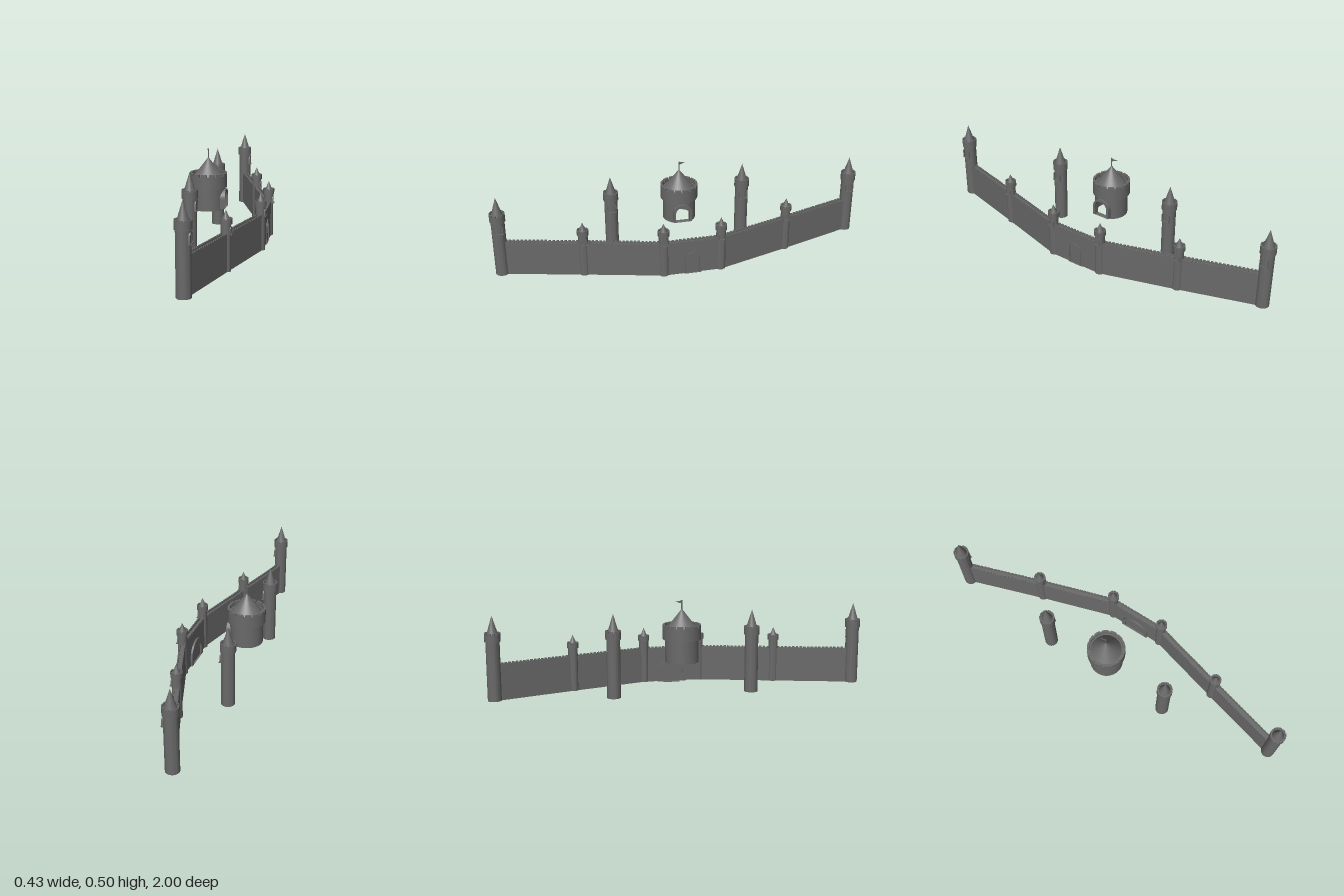
import * as THREE from 'three';
import { toCreasedNormals } from 'three/addons/utils/BufferGeometryUtils.js';

const material = new THREE.MeshStandardMaterial({ color: 0x696969, side: THREE.DoubleSide });
const BASE = 0.007;

function add(parent, name, geometry, x = 0, y = 0, z = 0) {
  const mesh = new THREE.Mesh(geometry, material);
  mesh.name = name;
  mesh.position.set(x, y, z);
  parent.add(mesh);
  return mesh;
}

function turned(points, segments = 40, start = 0, sweep = Math.PI * 2) {
  const profile = points.map(([r, y]) => new THREE.Vector2(r, y));
  return toCreasedNormals(new THREE.LatheGeometry(profile, segments, start, sweep), 0.6);
}

// Ring of curved teeth lying between two radii
function addMerlons(parent, inner, outer, y, height, count) {
  const span = (Math.PI * 2 / count) * 0.75;
  const shape = new THREE.Shape();
  shape.absarc(0, 0, outer, 0, span, false);
  shape.absarc(0, 0, inner, span, 0, true);
  const geometry = new THREE.ExtrudeGeometry(shape, { depth: height, bevelEnabled: false, curveSegments: 4 });
  geometry.rotateX(-Math.PI / 2);
  for (let i = 0; i < count; i++) {
    add(parent, 'merlon', geometry, 0, y, 0).rotation.y = (i / count) * Math.PI * 2;
  }
}

function archPath(path, width, height) {
  const r = width / 2;
  path.moveTo(-r, 0);
  path.lineTo(r, 0);
  path.lineTo(r, height - r);
  path.absarc(0, height - r, r, 0, Math.PI, false);
  path.lineTo(-r, 0);
  return path;
}

// Arched frame facing +x, its back face at x = 0 before placement
function archFrame(width, height, thickness, depth) {
  const shape = archPath(new THREE.Shape(), width, height);
  shape.holes.push(archPath(new THREE.Path(), width - thickness * 2, height - thickness));
  const geometry = new THREE.ExtrudeGeometry(shape, { depth, bevelEnabled: false, curveSegments: 16 });
  geometry.rotateY(Math.PI / 2);
  return toCreasedNormals(geometry, 0.6);
}

function createTower(name, s) {
  const tower = new THREE.Group();
  tower.name = name;
  // Shaft, open underneath, with a wider crown
  add(tower, 'shaft', turned([[s.r, BASE], [s.r, s.crownY]]));
  add(tower, 'crown', turned([
    [s.r, s.crownY], [s.crownR, s.crownY], [s.crownR, s.rimY],
    [s.crownR * 0.85, s.rimY], [s.crownR * 0.85, s.rimY - 0.004], [0, s.rimY - 0.004],
  ]));
  addMerlons(tower, s.crownR * 0.85, s.crownR, s.rimY, s.toothH, 10);
  const roofY = s.rimY - 0.004;
  const roofH = s.apexY - roofY;
  add(tower, 'roof', new THREE.ConeGeometry(s.roofR, roofH, 40), 0, roofY + roofH / 2, 0);
  // Window with a sill, on the outward side
  add(tower, 'windowFrame', archFrame(s.winW, s.winH, 0.006, s.r * 0.28), s.r * 0.75, s.winY, 0);
  add(tower, 'windowSill', new THREE.BoxGeometry(0.012, 0.004, s.winW), s.r, s.winY, 0);
  return tower;
}

const TALL = {
  r: 0.035, crownR: 0.04, crownY: 0.311, rimY: 0.347, toothH: 0.008,
  roofR: 0.03, apexY: 0.441, winY: 0.25, winW: 0.045, winH: 0.054,
};
const SMALL = {
  r: 0.025, crownR: 0.03, crownY: 0.236, rimY: 0.259, toothH: 0.006,
  roofR: 0.021, apexY: 0.305, winY: 0.186, winW: 0.032, winH: 0.04,
};

function createWall([x0, z0], [x1, z1]) {
  const wall = new THREE.Group();
  wall.name = 'curtainWall';
  const length = Math.hypot(x1 - x0, z1 - z0);
  const thickness = 0.03;
  const walkY = 0.182, parapetY = 0.19, topY = 0.196;
  wall.position.set((x0 + x1) / 2, 0, (z0 + z1) / 2);
  wall.rotation.y = Math.atan2(x1 - x0, z1 - z0);
  // Walkway over two faces, open underneath
  const walkway = new THREE.PlaneGeometry(thickness, length).rotateX(-Math.PI / 2);
  add(wall, 'walkway', walkway, 0, walkY, 0);
  // Crenellated parapets on both sides of the walkway
  const count = Math.round(length / 0.02);
  const pitch = length / count;
  const tooth = new THREE.BoxGeometry(0.006, topY - parapetY, pitch * 0.6);
  for (const side of [-1, 1]) {
    const face = new THREE.PlaneGeometry(length, walkY - BASE).rotateY(side * Math.PI / 2);
    add(wall, 'wallFace', face, side * thickness / 2, (walkY + BASE) / 2, 0);
    const x = side * (thickness / 2 - 0.003);
    add(wall, 'parapet', new THREE.BoxGeometry(0.006, parapetY - walkY, length), x, (walkY + parapetY) / 2, 0);
    for (let i = 0; i < count; i++) {
      add(wall, 'wallMerlon', tooth, x, (parapetY + topY) / 2, (i + 0.5) * pitch - length / 2);
    }
  }
  return wall;
}

function createKeep() {
  const keep = new THREE.Group();
  keep.name = 'keep';
  const inner = 0.077, outer = 0.087, bottom = 0.178, top = 0.297;
  const doorHalf = 0.044, doorSpring = 0.238;
  // Hollow drum, open underneath, left out where the doorway is
  const gap = Math.asin(doorHalf / outer);
  const drum = (y) => [[inner, top], [inner, y], [outer, y], [outer, top]];
  add(keep, 'keepBody', turned(drum(bottom), 36, Math.PI / 2 + gap, Math.PI * 2 - gap * 2));
  // Narrow slices of wall following the arch over the doorway
  const slices = 16;
  const step = gap * 2 / slices;
  for (let i = 0; i < slices; i++) {
    const z = outer * Math.sin((i + 0.5) * step - gap);
    const archY = doorSpring + Math.sqrt(doorHalf ** 2 - z ** 2);
    add(keep, 'wallOverDoor', turned(drum(archY), 1, Math.PI / 2 - gap + i * step, step));
  }
  // Broad crown
  add(keep, 'keepCrown', turned([
    [0, top], [0.099, top], [0.099, 0.36], [0.087, 0.36], [0.087, 0.352], [0, 0.352],
  ]));
  addMerlons(keep, 0.087, 0.099, 0.36, 0.013, 14);
  add(keep, 'keepRoof', new THREE.ConeGeometry(0.08, 0.102, 40), 0, 0.403, 0);
  // Doorway frame
  add(keep, 'keepDoorFrame', archFrame(0.1, 0.1, 0.012, 0.03), 0.067, 0.188, 0);
  // Flagpole and pennant
  add(keep, 'flagpole', new THREE.CylinderGeometry(0.003, 0.003, 0.055, 10), 0, 0.4715, 0);
  const pennant = new THREE.Shape();
  pennant.moveTo(0, 0.496);
  pennant.lineTo(0.034, 0.491);
  pennant.lineTo(0, 0.48);
  const flag = new THREE.ExtrudeGeometry(pennant, { depth: 0.002, bevelEnabled: false });
  add(keep, 'flag', flag).rotation.y = Math.PI / 2 + 0.2;
  keep.position.set(-0.117, 0, -0.005);
  return keep;
}

function createGate() {
  const gate = new THREE.Group();
  gate.name = 'gate';
  // Narrow frame outside, broader arch on the courtyard side
  add(gate, 'gateFrame', archFrame(0.08, 0.122, 0.008, 0.025), 0.18, BASE, 0);
  add(gate, 'courtyardArch', archFrame(0.16, 0.125, 0.02, 0.015), 0.16, BASE, 0);
  add(gate, 'gateSill', new THREE.BoxGeometry(0.034, 0.003, 0.09), 0.184, 0.003, 0).rotation.z = 0.08;
  gate.position.z = -0.005;
  return gate;
}

export function createModel() {
  const model = new THREE.Group();
  model.name = 'castle';
  // Line of the outer wall, from back to front
  const line = [
    [-0.077, -0.96], [0.06, -0.552], [0.185, -0.157],
    [0.185, 0.147], [0.078, 0.545], [-0.03, 0.96],
  ];
  line.forEach(([x, z], i) => {
    const end = i === 0 || i === line.length - 1;
    const tower = createTower(end ? 'endTower' : 'wallTower', end ? TALL : SMALL);
    tower.position.set(x, 0, z);
    model.add(tower);
    if (i > 0) model.add(createWall(line[i - 1], line[i]));
  });
  // Free-standing towers beside the keep
  for (const side of [-1, 1]) {
    const tower = createTower('innerTower', TALL);
    tower.position.set(-0.136, 0, side * 0.362);
    model.add(tower);
  }
  model.add(createKeep(), createGate());
  return model;
}
